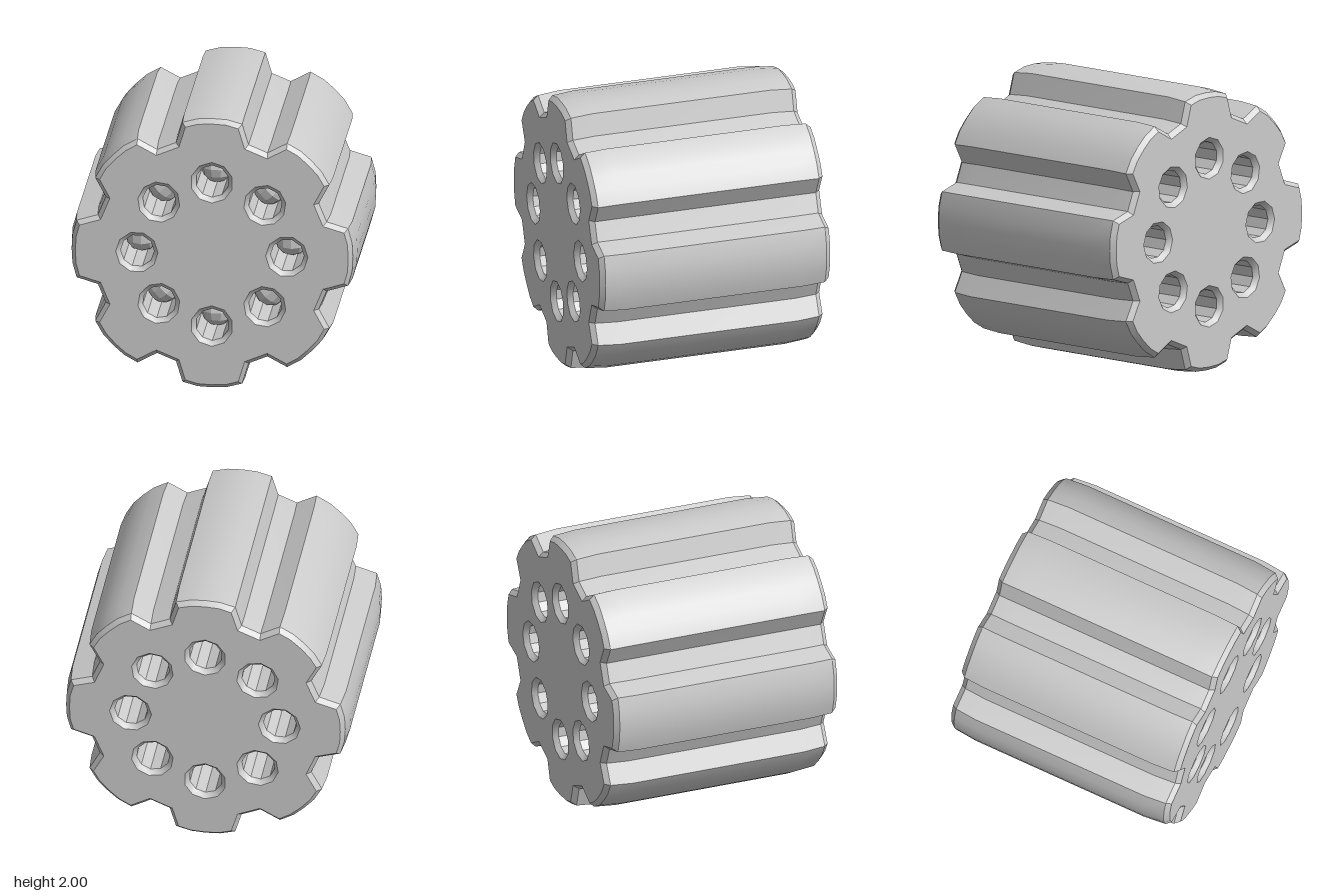
import * as THREE from 'three';
import { toCreasedNormals } from 'three/addons/utils/BufferGeometryUtils.js';

const COUNT = 8;
const BORE_RING = 0.525;
const STEP = (Math.PI * 2) / COUNT;
const polar = (r, a) => new THREE.Vector2(r * Math.cos(a), r * Math.sin(a));

// Lobed outline: five points over each lobe, two on each notch floor
function lobedOutline() {
  const pts = [];
  const lobe = [[-12.4, 0.988], [-6, 1], [0, 1], [6, 1], [12.4, 0.988], [17.6, 0.853], [27.4, 0.853]];
  for (let i = 0; i < COUNT; i++) {
    for (const [deg, r] of lobe) pts.push(polar(r, i * STEP + THREE.MathUtils.degToRad(deg)));
  }
  return new THREE.Shape(pts);
}

// Ten-sided bore
function bore(angle) {
  const c = polar(BORE_RING, angle);
  const pts = [];
  for (let i = 0; i < 10; i++) pts.push(polar(0.117, angle - (i * Math.PI) / 5).add(c));
  return new THREE.Path(pts);
}

function drumGeometry() {
  const shape = lobedOutline();
  for (let i = 0; i < COUNT; i++) shape.holes.push(bore(i * STEP));
  const geo = new THREE.ExtrudeGeometry(shape, {
    depth: 1.62, steps: 3,
    bevelEnabled: true, bevelThickness: 0.035, bevelSize: 0.03, bevelOffset: -0.03, bevelSegments: 1,
  });
  geo.translate(0, 0, -0.81);
  // Long straight middle, with the ends tapering in slightly
  const p = geo.attributes.position;
  for (let i = 0; i < p.count; i++) {
    const x = p.getX(i), y = p.getY(i), z = p.getZ(i);
    if (Math.abs(z) < 0.5) p.setZ(i, Math.sign(z) * 0.65);
    else if (Math.hypot(x, y) > 0.75) p.setXY(i, x * 0.985, y * 0.985);
  }
  return toCreasedNormals(geo, 0.5);
}

export function createModel() {
  const group = new THREE.Group();
  group.name = 'lobedDrum';

  const drum = new THREE.Mesh(drumGeometry(), new THREE.MeshStandardMaterial({ color: 0xcccccc }));
  drum.name = 'drum';
  drum.position.y = 1;
  group.add(drum);

  // Faceted rounded plugs deep inside each bore, one towards each end
  const plugGeo = new THREE.SphereGeometry(0.116, 10, 6);
  const plugMat = new THREE.MeshStandardMaterial({ color: 0xcccccc, flatShading: true });
  for (let i = 0; i < COUNT; i++) {
    const c = polar(BORE_RING, i * STEP);
    for (const z of [-0.45, 0.45]) {
      const plug = new THREE.Mesh(plugGeo, plugMat);
      plug.name = 'borePlug';
      plug.position.set(c.x, 1 + c.y, z);
      plug.rotation.z = i * STEP - Math.PI / 2;
      group.add(plug);
    }
  }
  return group;
}
